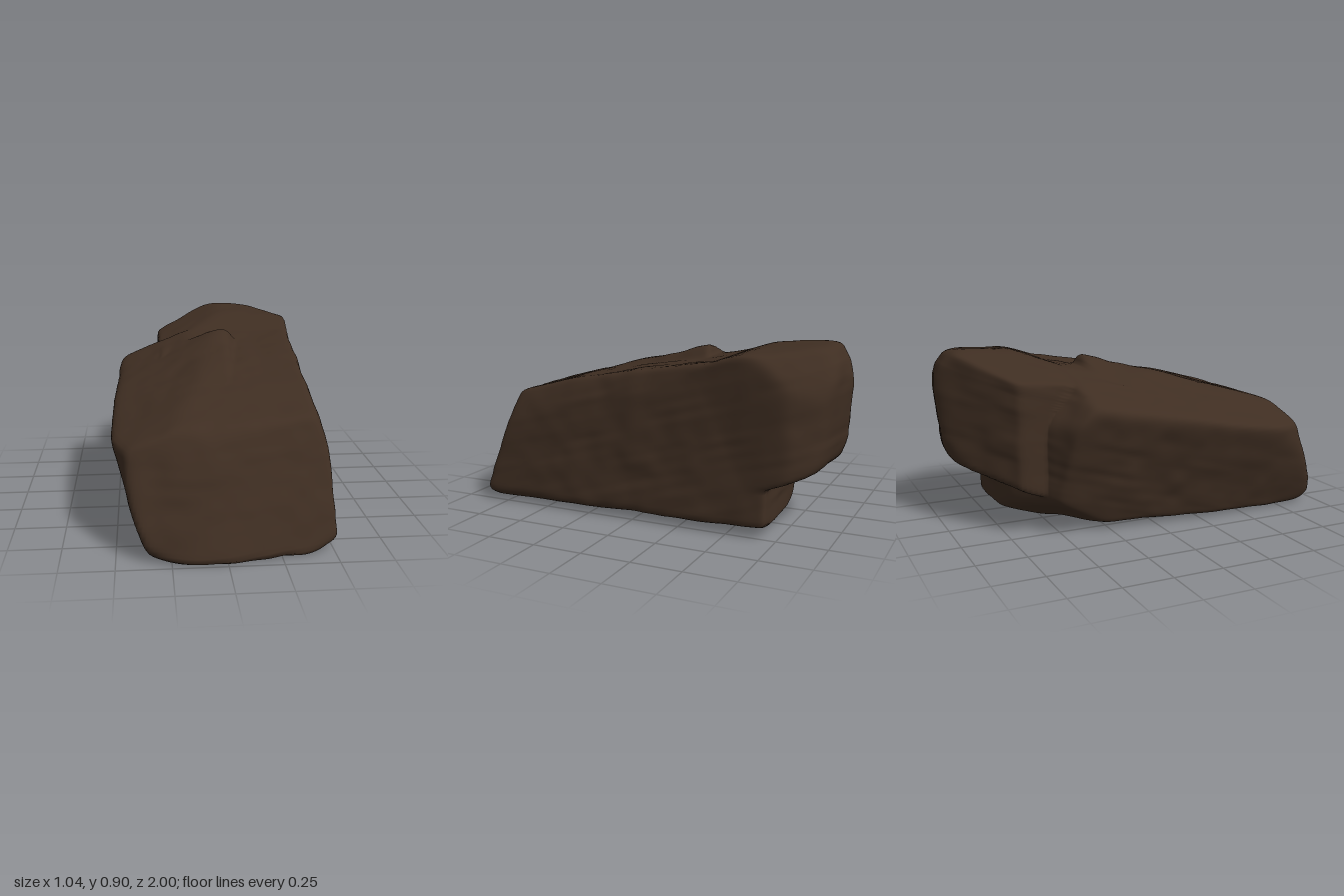
import * as THREE from 'three';
import { mergeVertices } from 'three/addons/utils/BufferGeometryUtils.js';

// The boulder is three fused slabs, each cut by planes: [point, outward normal]
const CORE = new THREE.Vector3(0.02, 0.4, 0);

const mainSlab = [
  [[0, 0.035, 0], [0, -1, -0.03]],             // underside
  [[0.52, 0.05, 0.4], [1, 0.06, 0]],           // +x side
  [[0.45, 0.66, 0.4], [1, 0.45, 0.12]],        // +x upper edge
  [[0.49, 0.04, 0.3], [0.6, -1, 0]],           // +x lower edge
  [[-0.08, 0.05, 1], [0.2, 0.37, 1]],          // front, +x half
  [[-0.08, 0.05, 1], [-0.12, 0.37, 1]],        // front, -x half
  [[0.48, 0.03, 0.86], [0.6, -1, 0.5]],        // front lower corner, +x
  [[-0.33, 0.03, 0.93], [-0.6, -1, 0.6]],      // front lower corner, -x
  [[0, 0.55, 0.805], [0, 1, 0.75]],            // front brow
  [[0, 0.79, 0], [0, 1, 0.27]],                // sloping top, front
  [[0, 0.755, 0], [0, 1, 0.165]],              // sloping top, rear
  [[-0.45, 0.675, -0.3], [-0.38, 1, 0.17]],    // -x shoulder
  [[-0.542, 0.53, 0.4], [-1, -0.34, 0.02]],    // -x side, front
  [[-0.49, 0.5, 0.7], [-1, 0.1, 0.4]],         // -x front corner
  [[-0.487, 0.55, -0.1], [-1, -0.3, -0.1]],    // -x side, rear
  [[-0.49, 0.62, 0], [-1, 0.4, 0]],            // -x upper edge
  [[-0.3, 0.5, -0.545], [-0.5, 0, -1]],        // rear, -x half
  [[-0.3, 0.65, -0.48], [-0.4, 0.8, -1]],      // rear upper bevel
  [[-0.3, 0.12, -0.45], [-0.5, -1, -0.6]],     // rear lower corner, -x
  [[0, 0.15, -0.7], [0, 0, -1]],               // rear foot
];
const capSlab = [
  [[0, 0.79, 0], [0, 1, 0.27]],                // sloping top
  [[-0.45, 0.675, -0.3], [-0.38, 1, 0.17]],    // -x shoulder
  [[0, 0.84, -0.25], [0, 0.4, -1]],            // rear step
  [[0.14, 0.805, -0.2], [1, 0.9, 0.3]],        // +x step
  [[0.3, 0.4, 0], [1, 0, 0]],                  // buried faces
  [[-0.3, 0.4, 0], [-1, 0, 0]],
  [[0, 0.3, 0], [0, -1, 0]],
  [[0, 0.4, 0.4], [0, 0, 1]],
];
const rearSlab = [
  [[0.5, 0.3, -0.5], [1, 0.02, 0.08]],         // +x side
  [[0, 0.87, -0.7], [-0.35, 1, 0.08]],         // top, -x half
  [[0.2, 0.902, -0.8], [0.08, 1, 0.05]],       // top, +x half
  [[0, 0.84, -0.45], [0, 1, 0.35]],            // step down to the main slab
  [[0, 0.265, -0.75], [0, -1, -0.35]],         // overhang
  [[0, 0.335, -0.93], [0, -1, -1]],            // overhang lip
  [[0, 0.12, 0], [0, -1, 0]],                  // buried faces
  [[0, 0.4, 0.1], [0, 0, 1]],
  [[-0.265, 0.5, -0.6], [-1, 0, 0]],           // -x side
  [[-0.08, 0.6, -0.838], [-0.79, 0, -1]],      // rear, -x slant
  [[0.2, 0.7, -0.998], [0.2, -0.08, -1]],      // rear
  [[0.2, 0.86, -0.955], [0, 0.8, -1]],         // rear upper edge
  [[0.465, 0.6, -0.88], [1, 0, -0.6]],         // rear, +x corner
  [[0.465, 0.73, -0.87], [1, 0.9, -0.6]],      // rear upper corner, +x
];

const toPlanes = (list) => list.map(([p, n]) => {
  const normal = new THREE.Vector3(...n).normalize();
  return { normal, d: normal.dot(new THREE.Vector3(...p).sub(CORE)) };
});

// Distance from the core to the slab surface, with softly worn edges
function reach(planes, dir) {
  let sum = 0;
  for (const { normal, d } of planes) {
    const c = normal.dot(dir);
    if (c > 1e-4) sum += Math.pow(c / d, 48);
  }
  return Math.pow(sum, -1 / 48);
}

// Smooth seeded value noise
const hash = (x, y, z) => {
  const s = Math.sin(x * 127.1 + y * 311.7 + z * 74.7) * 43758.5453;
  return s - Math.floor(s);
};
function noise(x, y, z) {
  const i = [x, y, z].map(Math.floor);
  const f = [x - i[0], y - i[1], z - i[2]].map((t) => t * t * (3 - 2 * t));
  let v = 0;
  for (let k = 0; k < 8; k++) {
    const b = [k & 1, (k >> 1) & 1, k >> 2];
    const w = b.reduce((a, on, j) => a * (on ? f[j] : 1 - f[j]), 1);
    v += w * hash(i[0] + b[0], i[1] + b[1], i[2] + b[2]);
  }
  return v * 2 - 1;
}

function boulderGeometry() {
  const box = new THREE.BoxGeometry(1, 0.8, 1.8, 52, 44, 96);
  box.deleteAttribute('uv');
  box.deleteAttribute('normal');
  const geometry = mergeVertices(box);
  geometry.clearGroups();
  const slabs = [mainSlab, capSlab, rearSlab].map(toPlanes);
  const pos = geometry.attributes.position;
  const p = new THREE.Vector3();
  for (let i = 0; i < pos.count; i++) {
    const dir = p.fromBufferAttribute(pos, i).normalize();
    const r = Math.max(...slabs.map((s) => reach(s, dir)));
    const { x, y, z } = dir.clone().multiplyScalar(r);
    // broad dents, small chips and thin bedding layers
    const bump = 0.007 * noise(x * 5, y * 5, z * 5)
      + 0.005 * noise(x * 12 + 7, y * 12, z * 12)
      + 0.003 * noise(x * 4, y * 30 + z * 8, z * 4 + 3);
    p.multiplyScalar(r + bump).add(CORE);
    pos.setXYZ(i, p.x, p.y, p.z);
  }
  // rest on the ground
  geometry.computeBoundingBox();
  geometry.translate(0, -geometry.boundingBox.min.y, 0);
  geometry.computeVertexNormals();
  return geometry;
}

export function createModel() {
  const group = new THREE.Group();
  group.name = 'rock';
  const stone = new THREE.MeshStandardMaterial({ color: 0x3f2e22 });
  stone.name = 'darkBrownStone';
  const boulder = new THREE.Mesh(boulderGeometry(), stone);
  boulder.name = 'boulder';
  group.add(boulder);
  return group;
}
